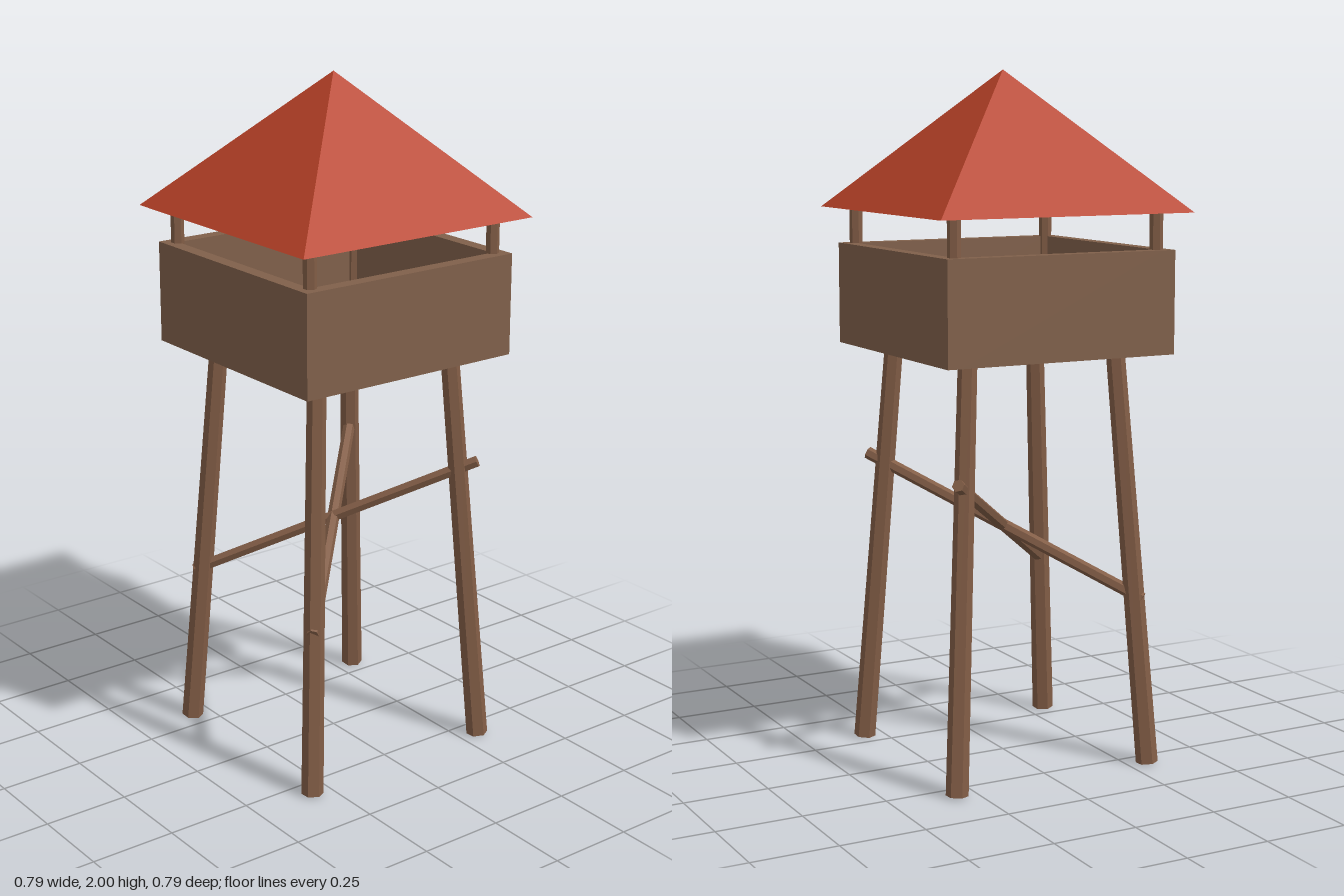
import * as THREE from 'three';

export function createModel() {
  const group = new THREE.Group();
  const material = (name, color) => {
    const m = new THREE.MeshStandardMaterial({ color, flatShading: true });
    m.name = name;
    return m;
  };
  const timber = material('timber', 0x825d46);
  const plank = material('plank', 0x80604a);
  const roofRed = material('roof red', 0xb84127);

  const add = (name, geometry, mat, x = 0, y = 0, z = 0) => {
    const mesh = new THREE.Mesh(geometry, mat);
    mesh.name = name;
    mesh.position.set(x, y, z);
    group.add(mesh);
    return mesh;
  };

  // Six-sided pole between two points, with a corner pointing along x
  const up = new THREE.Vector3(0, 1, 0);
  const pole = (name, from, to, rBottom, rTop) => {
    const a = new THREE.Vector3(...from);
    const b = new THREE.Vector3(...to);
    const dir = b.clone().sub(a);
    const geometry = new THREE.CylinderGeometry(rTop, rBottom, dir.length(), 6, 1, false, Math.PI / 6);
    const mid = a.add(b).multiplyScalar(0.5);
    const mesh = add(name, geometry, timber, mid.x, mid.y, mid.z);
    mesh.quaternion.setFromUnitVectors(up, dir.normalize());
  };

  // Splayed tapering legs and the short posts that carry the roof
  for (const sx of [-1, 1]) {
    for (const sz of [-1, 1]) {
      pole('leg', [sx * 0.311, 0.002, sz * 0.311], [sx * 0.236, 1.215, sz * 0.236], 0.032, 0.027);
      pole('roofPost', [sx * 0.318, 1.23, sz * 0.318], [sx * 0.318, 1.61, sz * 0.318], 0.019, 0.019);
    }
    // Braces crossing the middle, from low front legs to high back legs
    pole('brace', [-sx * 0.298, 0.49, 0.298], [sx * 0.298, 0.877, -0.298], 0.018, 0.018);
  }

  // Open cabin: floor and four walls
  const half = 0.357, wall = 0.04, y0 = 1.205, y1 = 1.5;
  const h = y1 - y0, yMid = (y0 + y1) / 2;
  add('floor', new THREE.BoxGeometry(2 * (half - wall), 0.04, 2 * (half - wall)), plank, 0, y0 + 0.02, 0);
  for (const s of [-1, 1]) {
    add('endWall', new THREE.BoxGeometry(2 * half, h, wall), plank, 0, yMid, s * (half - wall / 2));
    add('sideWall', new THREE.BoxGeometry(wall, h, 2 * (half - wall)), plank, s * (half - wall / 2), yMid, 0);
  }

  // Pyramid roof
  add('roof', new THREE.ConeGeometry(0.395 * Math.SQRT2, 0.395, 4, 1, false, Math.PI / 4), roofRed, 0, 1.8025, 0);

  return group;
}
